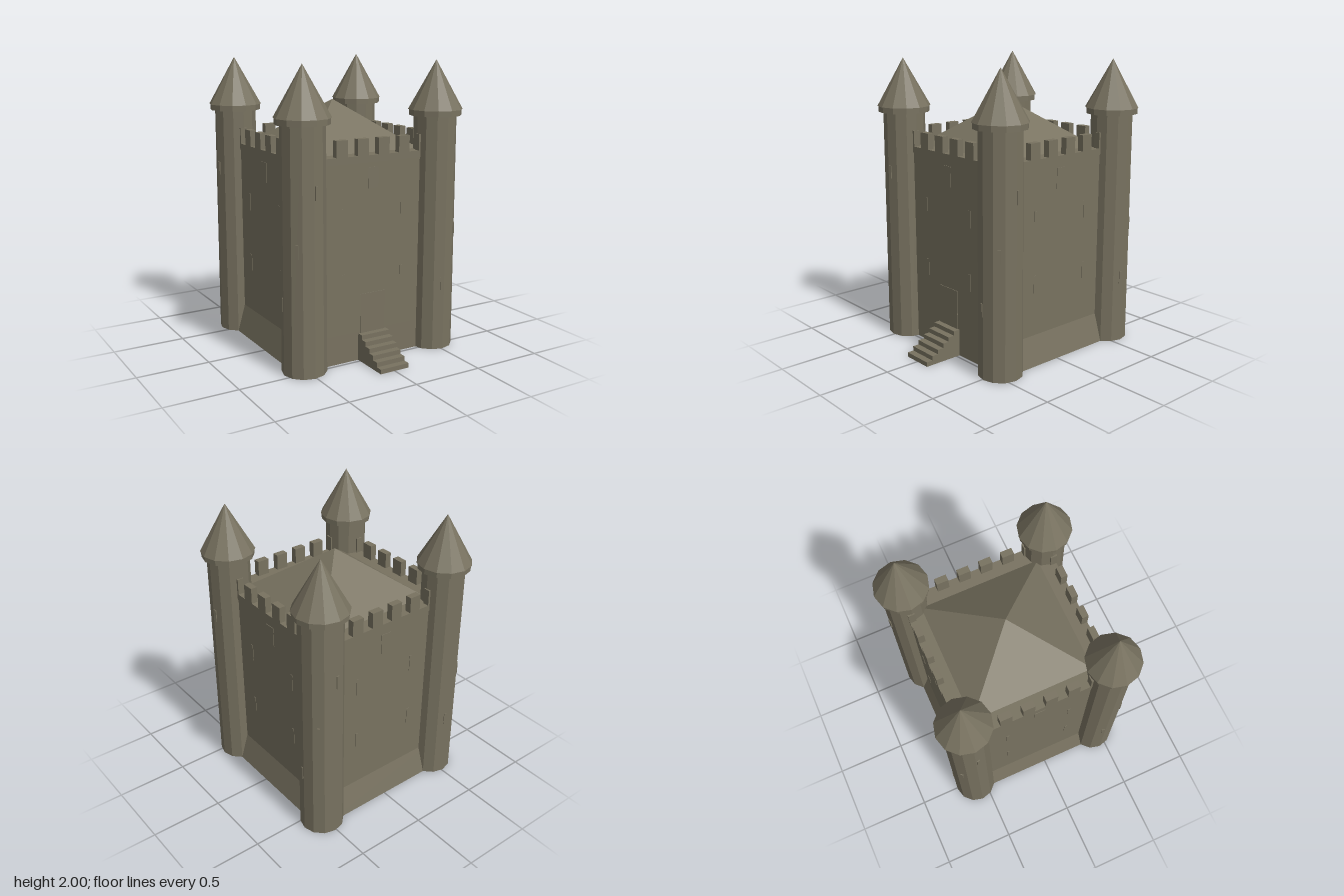
import * as THREE from 'three';

const stone = new THREE.MeshStandardMaterial({ color: 0x787260, flatShading: true, side: THREE.DoubleSide });
stone.name = 'stone';

function add(parent, name, geometry, x = 0, y = 0, z = 0) {
  const mesh = new THREE.Mesh(geometry, stone);
  mesh.name = name;
  mesh.position.set(x, y, z);
  parent.add(mesh);
  return mesh;
}
const box = (w, h, d) => new THREE.BoxGeometry(w, h, d);

// Open square ring; the bottom can spread outwards on three sides
function squareRing(half, bottom, y0, y1) {
  const r = half * Math.SQRT2;
  const g = new THREE.CylinderGeometry(r, r, y1 - y0, 4, 1, true);
  g.rotateY(Math.PI / 4);
  g.translate(0, (y0 + y1) / 2, 0);
  const p = g.attributes.position;
  for (let i = 0; i < p.count; i++) {
    if (p.getY(i) > (y0 + y1) / 2) continue;
    p.setX(i, Math.sign(p.getX(i)) * bottom);
    if (p.getZ(i) < 0) p.setZ(i, -bottom);
  }
  const flat = g.toNonIndexed();
  flat.computeVertexNormals();
  return flat;
}

// Round tower with cornice, pointed roof and three arrow slits
function makeTower() {
  const tower = new THREE.Group();
  tower.name = 'tower';
  add(tower, 'towerShaft', new THREE.CylinderGeometry(0.145, 0.15, 1.64, 12, 1, true), 0, 0.82, 0);
  add(tower, 'towerCornice', new THREE.CylinderGeometry(0.178, 0.178, 0.04, 12), 0, 1.65, 0);
  add(tower, 'towerRoof', new THREE.ConeGeometry(0.185, 0.33, 12), 0, 1.835, 0);
  for (const [angle, y, shift] of [[15, 1.215, -0.02], [-45, 0.845, 0], [-105, 0.475, 0.02]]) {
    const pivot = new THREE.Group();
    pivot.name = 'towerSlit';
    pivot.rotation.y = THREE.MathUtils.degToRad(angle);
    add(pivot, 'arrowSlit', box(0.02, 0.09, 0.009), shift, y, 0.144);
    tower.add(pivot);
  }
  return tower;
}

export function createModel() {
  const model = new THREE.Group();
  model.name = 'castleKeep';

  // Everything on the keep turns about its own centre line
  const keep = new THREE.Group();
  keep.name = 'keep';
  keep.position.z = -0.06;
  model.add(keep);

  // Walls, battered base, floor over the hollow base, and wall walk
  add(keep, 'batteredBase', squareRing(0.535, 0.585, 0, 0.2));
  add(keep, 'walls', box(1.07, 1.16, 1.07), 0, 0.78, 0);
  add(keep, 'wallWalk', box(1.08, 0.045, 1.08), 0, 1.3775, 0);

  // Pyramid roof
  const roof = new THREE.ConeGeometry(0.43 * Math.SQRT2, 0.32, 4);
  roof.rotateY(Math.PI / 4);
  add(keep, 'keepRoof', roof, 0, 1.56, 0);

  // Four equal sides, each with a tower, merlons and windows
  for (let s = 0; s < 4; s++) {
    const side = new THREE.Group();
    side.name = 'side' + (s + 1);
    side.rotation.y = s * Math.PI / 2;
    keep.add(side);

    const tower = makeTower();
    tower.position.set(-0.51, 0, 0.51);
    side.add(tower);

    for (let i = 0; i < 6; i++) {
      add(side, 'merlon', box(0.084, 0.11, 0.046), (i - 2.5) * 0.16, 1.455, 0.517);
    }
    add(side, 'upperWindow', box(0.08, 0.14, 0.009), 0, 1.25, 0.534);
    for (const x of [-0.23, 0.23]) {
      for (const y of [0.56, 1.0]) add(side, 'wallSlit', box(0.02, 0.12, 0.009), x, y, 0.534);
    }
  }

  // Door and front stairs
  add(model, 'door', box(0.19, 0.275, 0.009), 0, 0.3275, 0.475);
  const stairs = new THREE.Group();
  stairs.name = 'stairs';
  model.add(stairs);
  const steps = 6, rise = 0.19 / steps, run = 0.28 / steps;
  for (let i = 0; i < steps; i++) {
    const h = rise * (i + 1);
    add(stairs, 'step', box(0.22, h, run), 0, h / 2, 0.755 - run * (i + 0.5));
  }
  return model;
}
